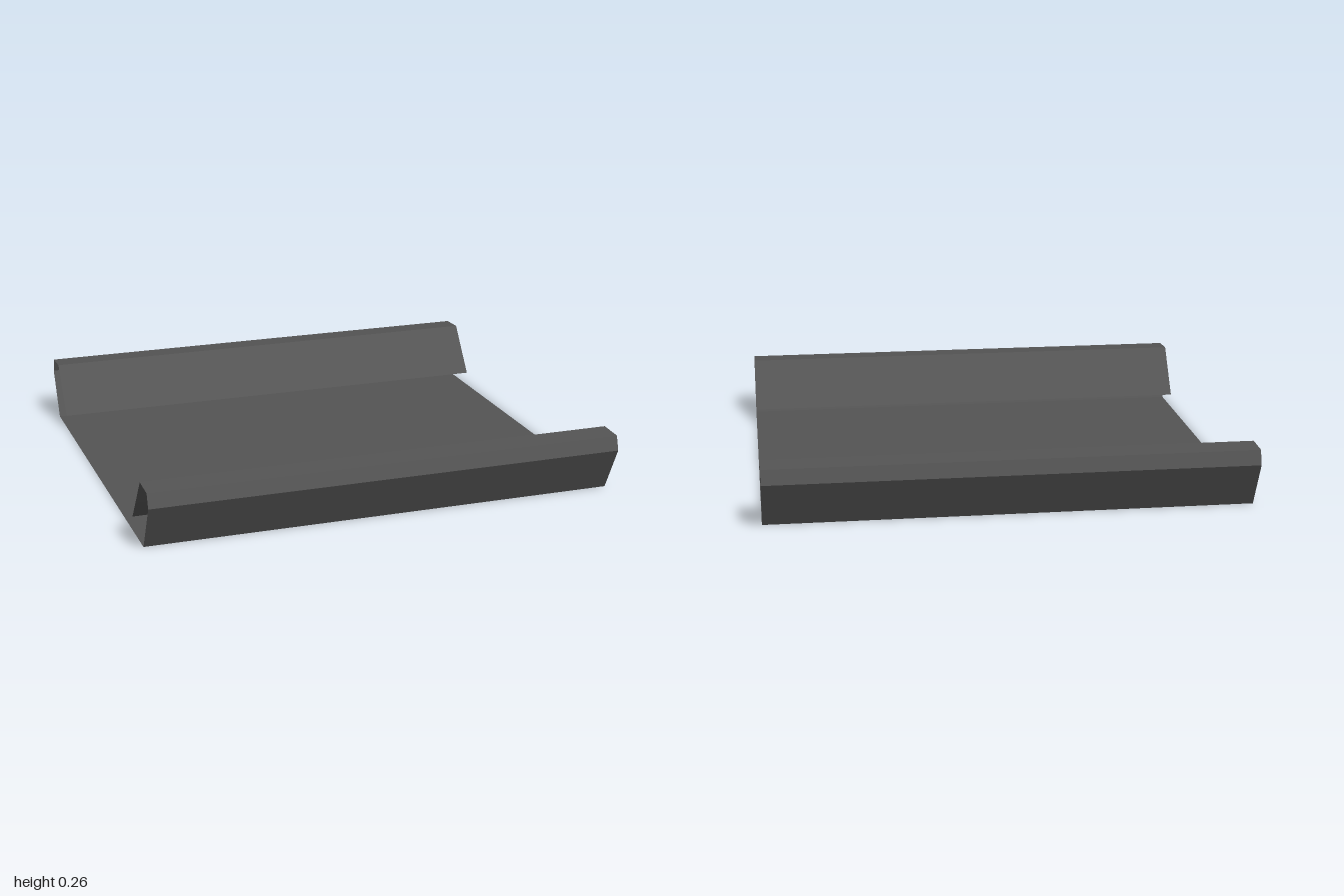
import * as THREE from 'three';

const material = new THREE.MeshStandardMaterial({
  color: 0x555555, flatShading: true, side: THREE.DoubleSide,
});

// Thin sheet: a [z, y] profile swept along x from -1 to 1
function foldedSheet(name, profile) {
  const positions = profile.flatMap(([z, y]) => [-1, y, z, 1, y, z]);
  const index = [];
  for (let i = 0; i < profile.length - 1; i++) {
    const a = i * 2;
    index.push(a, a + 1, a + 2, a + 1, a + 3, a + 2);
  }
  const geometry = new THREE.BufferGeometry();
  geometry.setAttribute('position', new THREE.Float32BufferAttribute(positions, 3));
  geometry.setIndex(index);
  geometry.computeVertexNormals();
  const mesh = new THREE.Mesh(geometry, material);
  mesh.name = name;
  return mesh;
}

export function createModel() {
  const group = new THREE.Group();
  group.name = 'foldedTray';

  // Flat base panel
  group.add(foldedSheet('basePanel', [[-0.82, 0], [0.82, 0]]));

  // Curled rim: sloping wall, bevel, top and inward flap
  const rim = [[0.82, 0], [0.92, 0.195], [0.902, 0.255], [0.793, 0.26], [0.705, 0.14], [0.645, 0.06]];
  group.add(foldedSheet('frontRim', rim));
  const backRim = foldedSheet('backRim', rim);
  backRim.rotation.y = Math.PI;
  group.add(backRim);

  return group;
}
